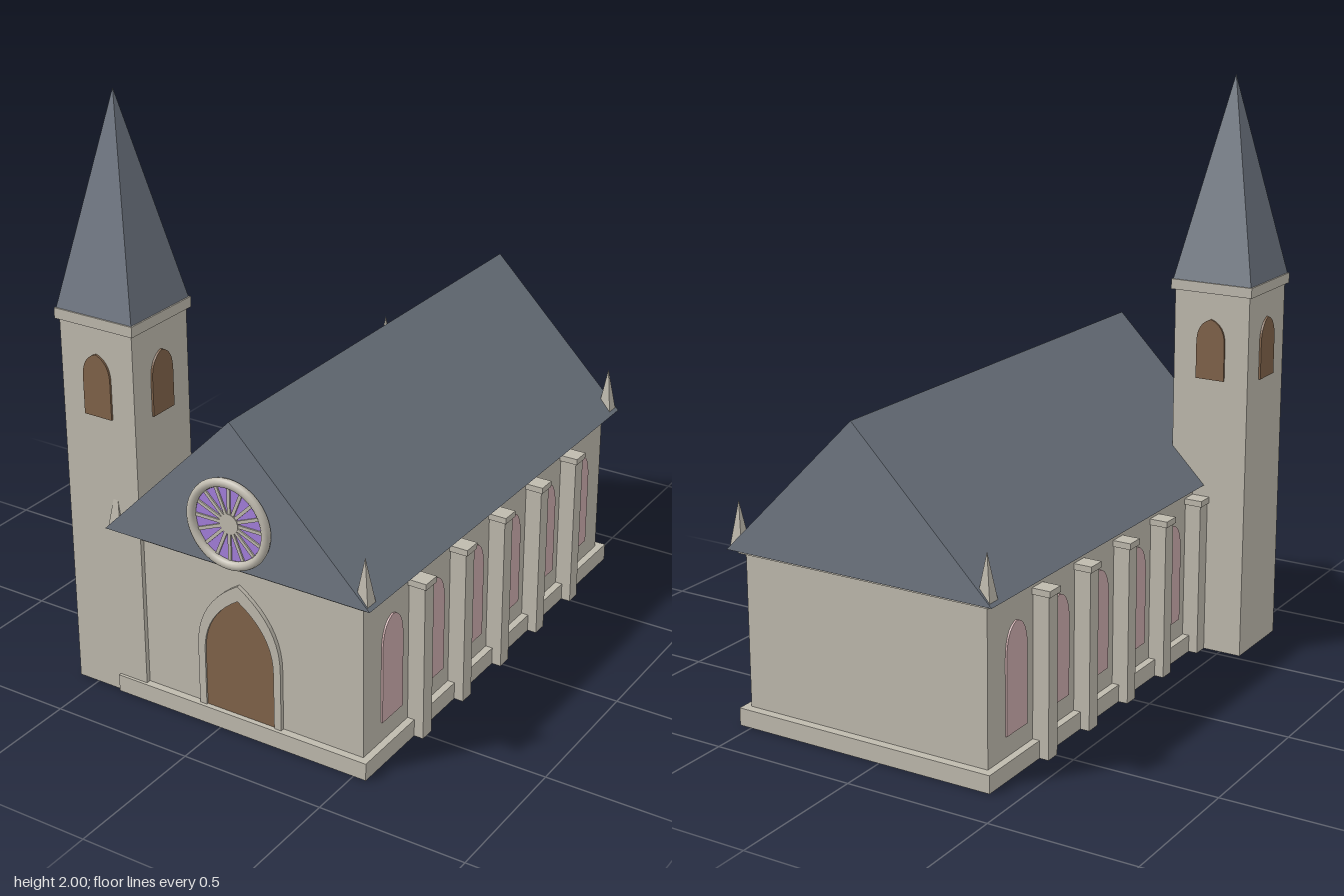
import * as THREE from 'three';

const mat = (name, color, flat = true) => {
  const m = new THREE.MeshStandardMaterial({ color, flatShading: flat });
  m.name = name;
  return m;
};

// Pointed arch outline standing on y = 0; round lifts the shoulders
function archShape(w, h, spring, round = 0.62) {
  const s = new THREE.Shape(), r = w / 2, c = spring + (h - spring) * round;
  s.moveTo(-r, 0);
  s.lineTo(r, 0);
  s.lineTo(r, spring);
  s.quadraticCurveTo(r, c, 0, h);
  s.quadraticCurveTo(-r, c, -r, spring);
  return s;
}

const extrude = (shape, depth) =>
  new THREE.ExtrudeGeometry(shape, { depth, bevelEnabled: false, curveSegments: 10 });

// Square pyramid with sides along the axes, base at y = 0
function pyramid(half, h) {
  const g = new THREE.ConeGeometry(half * Math.SQRT2, h, 4);
  g.rotateY(Math.PI / 4);
  g.translate(0, h / 2, 0);
  return g;
}

export function createModel() {
  const church = new THREE.Group();
  church.name = 'church';
  const stone = mat('stone', 0xbfbaae);
  const smoothStone = stone;
  const slate = mat('slate', 0x6f7782);
  const wood = mat('wood', 0x80634a);
  const pink = mat('pinkGlass', 0xcdacad);
  const purple = mat('purpleGlass', 0xa47fdc);

  const add = (name, geo, material, x = 0, y = 0, z = 0, ry = 0, parent = church) => {
    const m = new THREE.Mesh(geo, material);
    m.name = name;
    m.position.set(x, y, z);
    m.rotation.y = ry;
    parent.add(m);
    return m;
  };
  // Box given by its lower and upper corners
  const box = (name, material, x0, x1, y0, y1, z0, z1, parent = church) =>
    add(name, new THREE.BoxGeometry(x1 - x0, y1 - y0, z1 - z0), material,
      (x0 + x1) / 2, (y0 + y1) / 2, (z0 + z1) / 2, 0, parent);

  const cx = 0.07, cz = -0.012;

  // Nave
  box('plinth', stone, cx - 0.475, cx + 0.475, 0, 0.06, -0.837, 0.811);
  box('naveWalls', stone, cx - 0.45, cx + 0.45, 0.06, 0.587, -0.807, 0.785);
  box('eavesCornice', stone, cx - 0.466, cx + 0.466, 0.585, 0.602, -0.826, 0.8);

  // Solid gabled roof
  const gable = new THREE.Shape([
    new THREE.Vector2(-0.493, 0), new THREE.Vector2(0.493, 0), new THREE.Vector2(0, 0.495)]);
  add('naveRoof', extrude(gable, 1.67), slate, cx, 0.6, -0.85);

  // Corner pinnacles
  for (const x of [cx - 0.46, cx + 0.46])
    for (const z of [-0.822, 0.792])
      add('pinnacle', pyramid(0.024, 0.16), stone, x, 0.602, z);

  // Buttresses and side windows
  const step = 0.254;
  const windowGeo = extrude(archShape(0.12, 0.36, 0.25, 0.88), 0.006);
  for (const s of [-1, 1]) {
    const wall = cx + s * 0.45;
    const side = new THREE.Group();
    side.name = s > 0 ? 'leftSide' : 'rightSide';
    church.add(side);
    for (let i = -2; i <= 2; i++) {
      const z = cz + i * step;
      add('buttress', new THREE.BoxGeometry(0.065, 0.54, 0.053), stone,
        wall + s * 0.025, 0.27, z, 0, side);
      add('buttressCap', new THREE.BoxGeometry(0.073, 0.021, 0.064), stone,
        wall + s * 0.0275, 0.55, z, 0, side);
    }
    for (let i = 0; i < 6; i++)
      add('sideWindow', windowGeo, pink, wall, 0.13, cz + (i - 2.5) * step, s * Math.PI / 2, side);
  }

  // Door and its pointed surround
  add('door', extrude(archShape(0.26, 0.415, 0.2), 0.008), wood, cx, 0.06, 0.785);
  const outer = archShape(0.312, 0.468, 0.215).getPoints(10).slice(1);
  const inner = archShape(0.26, 0.415, 0.2).getPoints(10).slice(1);
  outer.push(new THREE.Vector2(-0.156, 0));
  inner.push(new THREE.Vector2(-0.13, 0));
  add('doorSurround', extrude(new THREE.Shape([...outer, ...inner.reverse()]), 0.014),
    stone, cx, 0.06, 0.785);

  // Rose window
  const rose = new THREE.Group();
  rose.name = 'roseWindow';
  rose.position.set(cx, 0.76, 0.82);
  church.add(rose);
  const ringStone = mat('stoneRing', 0xbfbaae, false);
  add('roseRing', new THREE.TorusGeometry(0.138, 0.015, 10, 48), ringStone, 0, 0, 0.015, 0, rose);
  const disc = (r, d) => new THREE.CylinderGeometry(r, r, d, 40).rotateX(Math.PI / 2);
  add('roseGlass', disc(0.135, 0.008), purple, 0, 0, 0.004, 0, rose);
  add('roseHub', disc(0.034, 0.014), smoothStone, 0, 0, 0.008, 0, rose);
  for (let i = 0; i < 8; i++) {
    const bar = add('roseTracery', new THREE.BoxGeometry(0.27, 0.011, 0.01), stone, 0, 0, 0.008, 0, rose);
    bar.rotation.z = i * Math.PI / 8;
  }

  // Bell tower
  const tower = new THREE.Group();
  tower.name = 'tower';
  tower.position.set(-0.437, 0, 0.662);
  church.add(tower);
  box('towerWalls', stone, -0.139, 0.139, 0, 1.28, -0.139, 0.139, tower);
  box('towerCornice', stone, -0.15, 0.15, 1.28, 1.315, -0.15, 0.15, tower);
  add('spire', pyramid(0.145, 0.685), slate, 0, 1.315, 0, 0, tower);
  const belfryGeo = extrude(archShape(0.105, 0.21, 0.125, 0.8), 0.007);
  for (let i = 0; i < 4; i++) {
    const a = i * Math.PI / 2;
    add('belfryOpening', belfryGeo, wood, 0.139 * Math.sin(a), 0.98, 0.139 * Math.cos(a), a, tower);
  }
  return church;
}
